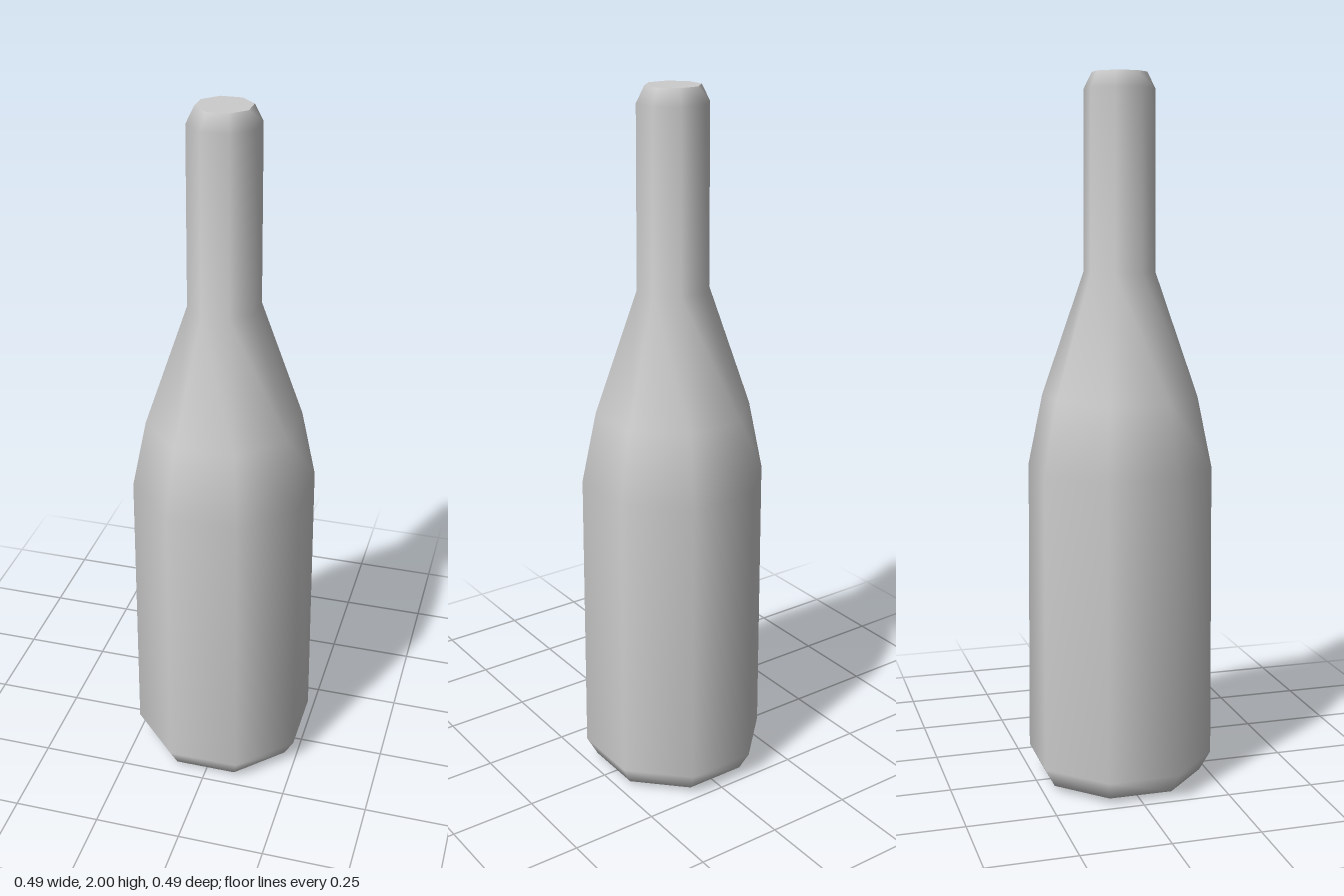
import * as THREE from 'three';

const SIDES = 8;
const TURN = Math.PI / SIDES; // puts flat sides on the x and z axes
const toCorner = 1 / Math.cos(TURN); // flat-side distance to corner radius

export function createModel() {
  const group = new THREE.Group();
  group.name = 'bottle';
  const grey = new THREE.MeshStandardMaterial({ color: 0xcccccc });
  grey.name = 'grey glass';

  // Half width across the flats, height
  const profile = [
    [0.18, 0], [0.217, 0.016], [0.246, 0.072], [0.241, 0.915],
    [0.203, 1.115], [0.093, 1.46], [0.091, 1.955], [0.07, 2],
  ].map(([w, y]) => new THREE.Vector2(w * toCorner, y));

  // Smooth eight-sided body, shoulder and neck
  const body = new THREE.Mesh(new THREE.LatheGeometry(profile, SIDES, TURN), grey);
  body.name = 'bottleBody';
  group.add(body);

  // Flat octagonal ends
  const addCap = (name, point, tilt) => {
    const geometry = new THREE.CircleGeometry(point.x, SIDES, TURN);
    geometry.rotateX(tilt).translate(0, point.y, 0);
    const cap = new THREE.Mesh(geometry, grey);
    cap.name = name;
    group.add(cap);
  };
  addCap('base', profile[0], Math.PI / 2);
  addCap('neckTop', profile[profile.length - 1], -Math.PI / 2);

  return group;
}
